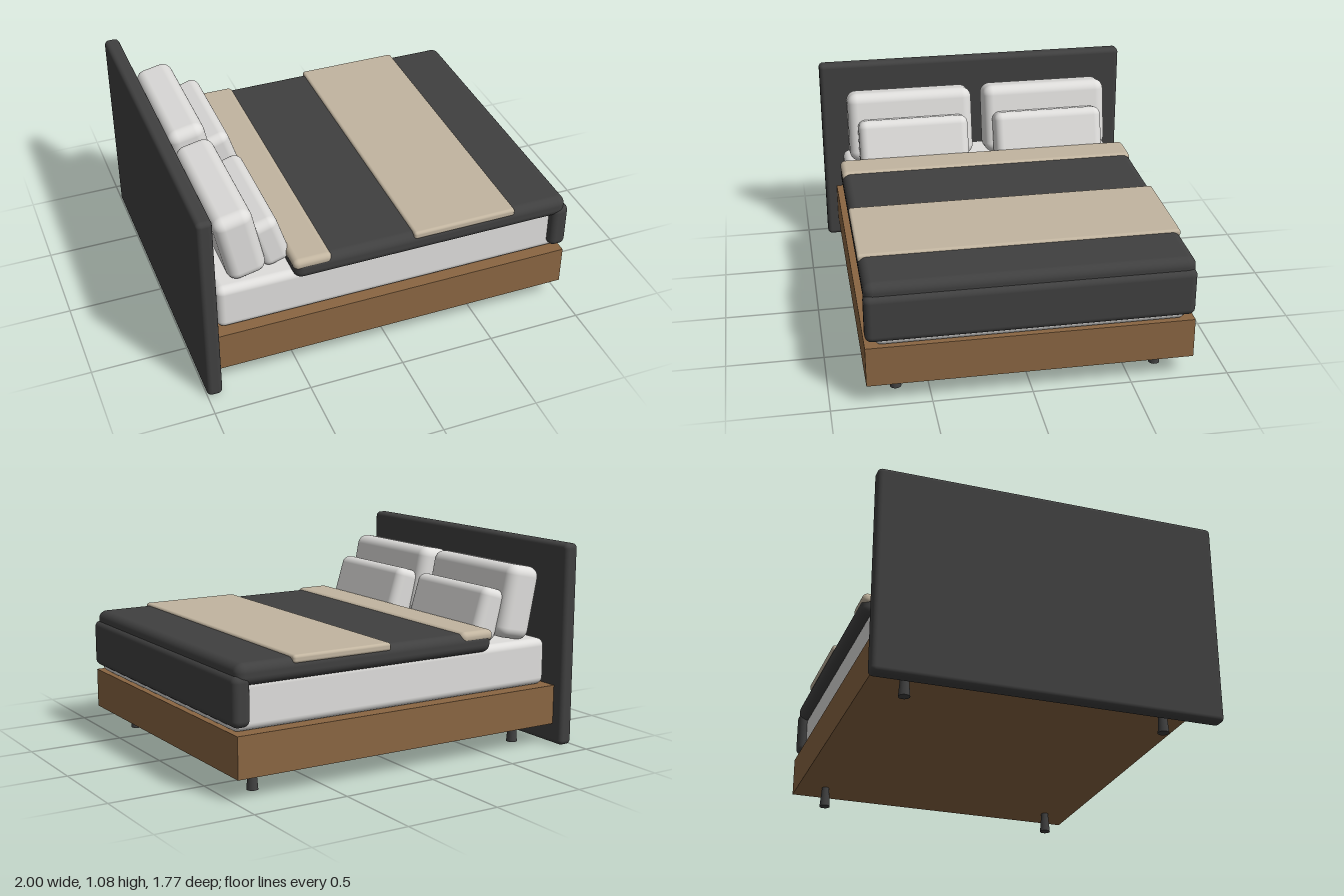
import * as THREE from 'three';
import { RoundedBoxGeometry } from 'three/addons/geometries/RoundedBoxGeometry.js';

function material(name, color) {
  const m = new THREE.MeshStandardMaterial({ color });
  m.name = name;
  return m;
}

export function createModel() {
  const bed = new THREE.Group();
  bed.name = 'bed';
  const charcoal = material('charcoal fabric', 0x404040);
  const wood = material('brown wood', 0x8a6642);
  const linen = material('white linen', 0xdfdedc);
  const beige = material('beige blanket', 0xc2b5a0);

  const add = (name, geometry, mat, x, y, z) => {
    const mesh = new THREE.Mesh(geometry, mat);
    mesh.name = name;
    mesh.position.set(x, y, z);
    bed.add(mesh);
    return mesh;
  };

  // Soft block given by its x and y limits and its full width in z
  const soft = (name, mat, x0, x1, y0, y1, width, radius) =>
    add(name, new RoundedBoxGeometry(x1 - x0, y1 - y0, width, 4, radius), mat,
      (x0 + x1) / 2, (y0 + y1) / 2, 0);

  // Headboard and wooden base
  soft('headboard', charcoal, -1, -0.92, 0, 1.08, 1.77, 0.025);
  add('frame', new THREE.BoxGeometry(1.905, 0.21, 1.64), wood, 0.0325, 0.215, 0);

  // Legs, wider at the floor
  for (const x of [-0.77, 0.825]) {
    for (const z of [-0.665, 0.665]) {
      add('leg', new THREE.CylinderGeometry(0.02, 0.029, 0.11, 20), charcoal, x, 0.055, z);
    }
  }

  // Mattress and bedding
  soft('mattress', linen, -0.895, 0.98, 0.32, 0.57, 1.55, 0.04);
  soft('duvet', charcoal, -0.505, 0.98, 0.545, 0.655, 1.63, 0.045);
  soft('duvetFootDrape', charcoal, 0.905, 1, 0.35, 0.6, 1.635, 0.035);
  soft('duvetFold', beige, -0.51, -0.31, 0.605, 0.665, 1.63, 0.028);
  soft('throwBlanket', beige, 0.125, 0.68, 0.625, 0.667, 1.634, 0.015);

  // Two pairs of pillows leaning towards the headboard
  for (const side of [-1, 1]) {
    const back = add('backPillow', new RoundedBoxGeometry(0.2, 0.39, 0.71, 5, 0.055),
      linen, -0.749, 0.766, side * 0.39);
    back.rotation.z = 0.2;
    const front = add('frontPillow', new RoundedBoxGeometry(0.15, 0.278, 0.62, 5, 0.045),
      linen, -0.586, 0.711, side * 0.387);
    front.rotation.z = 0.3;
  }
  return bed;
}
